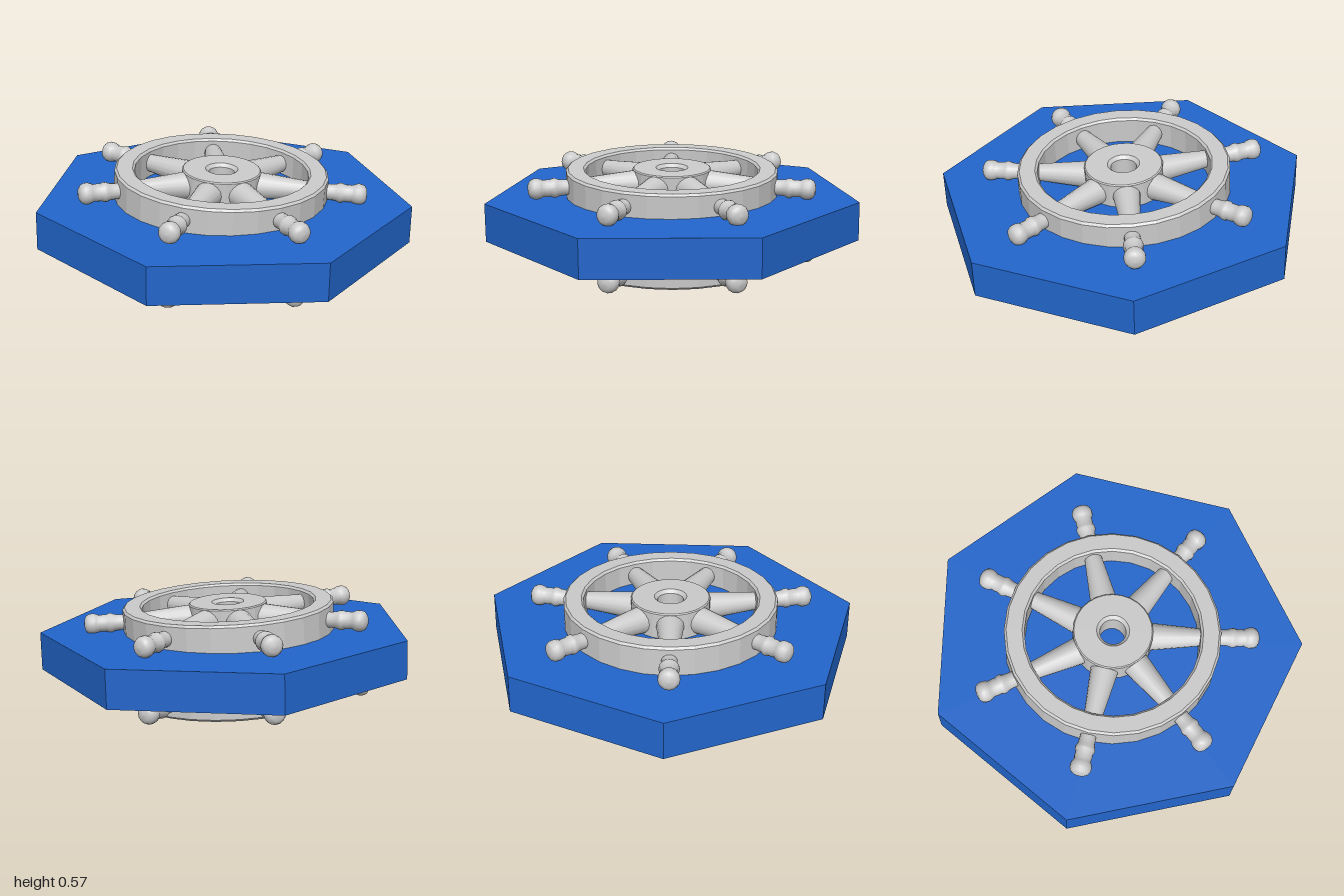
import * as THREE from 'three';

const grey = new THREE.MeshStandardMaterial({ color: 0xcccccc });
const greyFlat = new THREE.MeshStandardMaterial({ color: 0xcccccc, flatShading: true });
const blue = new THREE.MeshStandardMaterial({ color: 0x2266cc, flatShading: true });

const SPOKES = 7;
const AXIS = 0.176; // height of the spokes above the slab's middle
const BASE = 0.085, TOP = 0.255; // rim and hub, sunk slightly into the slab

function lathe(name, profile, sides, material) {
  const points = profile.map(([r, y]) => new THREE.Vector2(r, y));
  const mesh = new THREE.Mesh(new THREE.LatheGeometry(points, sides), material);
  mesh.name = name;
  return mesh;
}

// Closed ring with a small bevel on its upper and lower edges
function ring(name, inner, outer, bevelIn, bevelOut, sides) {
  return lathe(name, [
    [outer - bevelOut, BASE], [outer, BASE + bevelOut],
    [outer, TOP - bevelOut], [outer - bevelOut, TOP],
    [inner + bevelIn, TOP], [inner, TOP - bevelIn],
    [inner, BASE + bevelIn], [inner + bevelIn, BASE],
    [outer - bevelOut, BASE],
  ], sides, greyFlat);
}

function createWheel(name) {
  const wheel = new THREE.Group();
  wheel.name = name;
  wheel.add(ring('rim', 0.47, 0.578, 0.012, 0.012, 28));
  wheel.add(ring('hub', 0.07, 0.214, 0.018, 0.006, 28));

  for (let i = 0; i < SPOKES; i++) {
    const arm = new THREE.Group();
    arm.name = 'spokeAndHandle';
    // Tapered spoke from hub to rim
    arm.add(lathe('spoke', [[0.076, 0.18], [0.045, 0.5]], 16, grey));
    // Turned handle with collar, groove and rounded knob
    arm.add(lathe('handle', [
      [0.042, 0.56], [0.043, 0.6], [0.046, 0.625], [0.053, 0.64], [0.053, 0.655],
      [0.046, 0.668], [0.047, 0.69], [0.045, 0.708], [0.052, 0.72],
      [0.057, 0.738], [0.056, 0.758], [0.047, 0.776], [0.028, 0.787], [0, 0.79],
    ], 16, grey));
    // Lay the arm flat, pointing to the back, then turn it into place
    arm.rotation.set(-Math.PI / 2, -i * 2 * Math.PI / SPOKES, 0, 'YXZ');
    arm.position.y = AXIS;
    wheel.add(arm);
  }
  return wheel;
}

export function createModel() {
  const model = new THREE.Group();
  model.name = 'heptagonSlabWithWheels';

  // Seven-sided slab, leaning slightly
  const slab = new THREE.Mesh(
    new THREE.CylinderGeometry(1.022, 1.022, 0.208, SPOKES, 1, false, Math.PI - 0.019), blue);
  slab.name = 'slab';
  slab.position.set(0, 0.295, 0.04);
  slab.rotation.z = -0.027;
  model.add(slab);

  // One wheel on each face, leaning a little more than the slab
  const wheels = new THREE.Group();
  wheels.name = 'wheels';
  const upper = createWheel('upperWheel');
  const lower = createWheel('lowerWheel');
  lower.rotation.z = Math.PI;
  wheels.add(upper, lower);
  wheels.position.set(-0.014, 0.288, 0.047);
  wheels.rotation.set(-0.015, 0, -0.05);
  model.add(wheels);

  // Stand the model on the ground
  model.updateMatrixWorld(true);
  const lift = -new THREE.Box3().setFromObject(model, true).min.y;
  for (const part of model.children) part.position.y += lift;
  return model;
}
